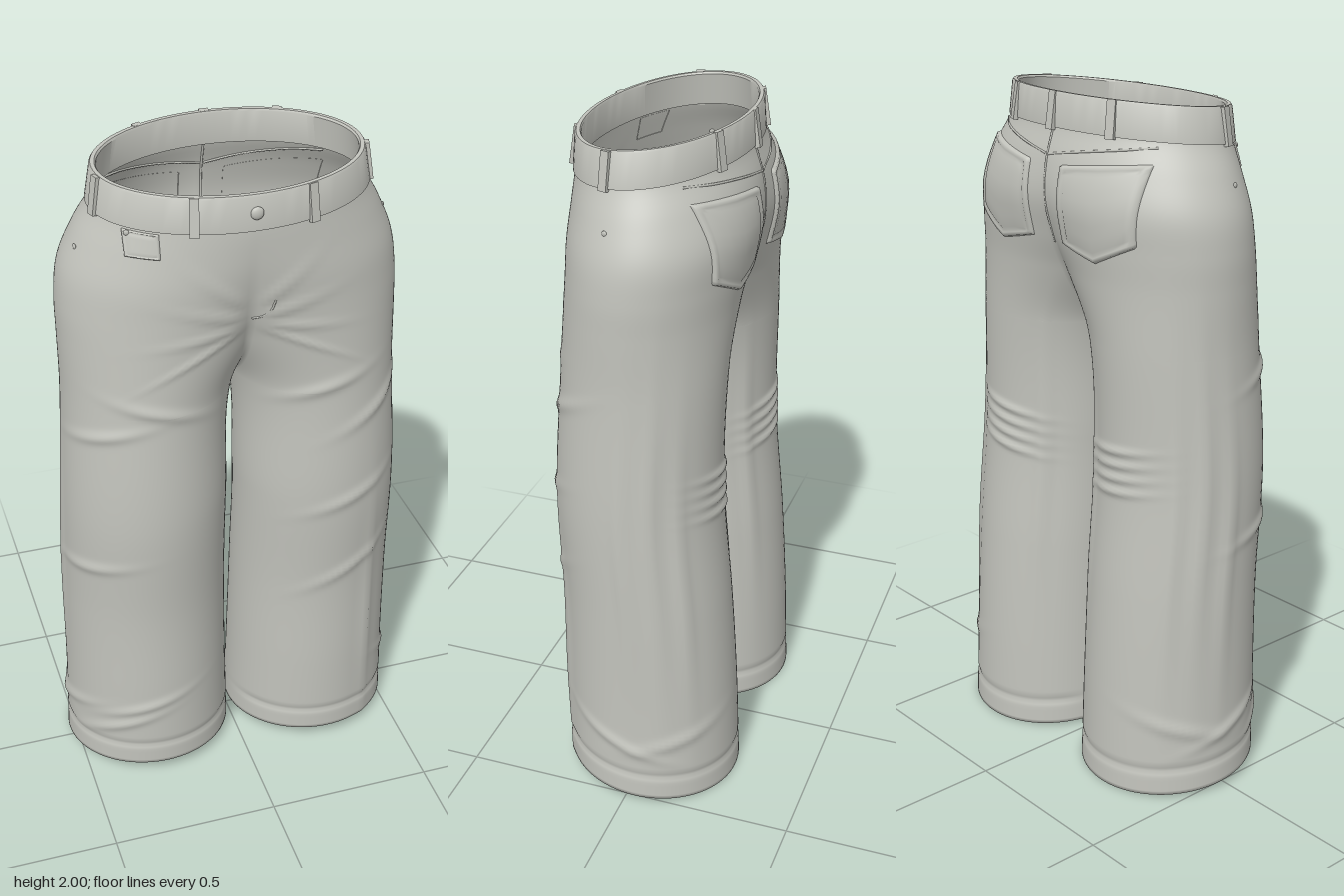
import * as THREE from 'three';
import { mergeVertices, mergeGeometries, toCreasedNormals } from 'three/addons/utils/BufferGeometryUtils.js';

const cloth = new THREE.MeshStandardMaterial({ color: 0xc2c3bc, side: THREE.DoubleSide });
cloth.name = 'grey cloth';

// Half-body sections: height, outer x, inner x (negative = legs joined), front z, back z
const SECTIONS = [
  [0.02, 0.525, 0.008, 0.25, -0.268], [0.3, 0.516, 0.015, 0.253, -0.257],
  [0.6, 0.511, 0.02, 0.253, -0.237], [0.95, 0.505, 0.02, 0.272, -0.207],
  [1.32, 0.488, 0, 0.255, -0.21], [1.5, 0.488, -0.11, 0.254, -0.22],
  [1.6, 0.487, -0.2, 0.257, -0.235], [1.7, 0.473, -0.28, 0.263, -0.249],
  [1.8, 0.43, -0.36, 0.266, -0.233], [1.88, 0.386, -0.386, 0.266, -0.208],
  [1.93, 0.372, -0.372, 0.26, -0.202],
];
const CROTCH = 1.32;

// Folds across the leg: side (0 = both), angle (0 outer, PI/2 front), height, slope
const CROSS_FOLDS = [
  [1, 1.7, 1.33, -0.06], [1, 1, 1.23, -0.1], [1, 1.4, 0.95, -0.08], [1, 1.4, 0.68, -0.12],
  [-1, 1.5, 1.33, -0.06], [-1, 0.8, 1.25, 0.06], [-1, 0.6, 0.79, 0.05],
  [-1, 1, 0.18, 0.1], [-1, 1.3, 0.26, 0.08], [0, 0.1, 0.2, 0.08], [0, -0.6, 0.22, -0.08],
];
// Folds along the leg: side, angle, height
const LONG_FOLDS = [[1, 1.05, 0.45], [0, -0.1, 0.75], [0, -0.45, 0.9], [0, -0.8, 0.75], [0, -2.2, 0.85]];

// Smooth interpolation through the sections
function section(y) {
  const last = SECTIONS.length - 1;
  let i = 0;
  while (i < last - 1 && SECTIONS[i + 1][0] < y) i++;
  const a = SECTIONS[i], b = SECTIONS[i + 1], h = b[0] - a[0];
  const t = THREE.MathUtils.clamp((y - a[0]) / h, 0, 1), t2 = t * t, t3 = t2 * t;
  const slope = (j, k) => {
    const p = SECTIONS[Math.max(j - 1, 0)], q = SECTIONS[Math.min(j + 1, last)];
    return (q[k] - p[k]) / (q[0] - p[0]) * h;
  };
  const [outer, inner, front, back] = [1, 2, 3, 4].map(k =>
    a[k] * (2 * t3 - 3 * t2 + 1) + slope(i, k) * (t3 - 2 * t2 + t) + b[k] * (3 * t2 - 2 * t3) + slope(i + 1, k) * (t3 - t2));
  return { cx: (outer + inner) / 2, ax: (outer - inner) / 2, cz: (front + back) / 2, az: (front - back) / 2 };
}

// Waist leans forward, hem leans back
const lean = (y, z) => y - 0.095 * (z - 0.03) * THREE.MathUtils.smoothstep(y, 1.5, 1.88)
  + 0.085 * z * (1 - THREE.MathUtils.smoothstep(y, 0.05, 0.5));

function foldLift(side, angle, y) {
  let d = -0.006 * Math.exp(-(((y - 0.1) / 0.01) ** 2)); // hem stitch groove
  const fold = (s, a, fy, slope, reach, height, lift) => {
    if (s && s !== side) return;
    const da = Math.atan2(Math.sin(angle - a), Math.cos(angle - a));
    d += lift * Math.exp(-((da / reach) ** 2) - ((y - fy - slope * da) / height) ** 2);
  };
  for (const f of CROSS_FOLDS) fold(...f, 0.5, 0.018, 0.008);
  for (const [s, a, fy] of LONG_FOLDS) fold(s, a, fy, 0, 0.08, 0.38, 0.01);
  for (let i = 0; i < 4; i++) {
    fold(0, 1.75, 1.66 - i * 0.055, -0.22 + i * 0.13, 0.4, 0.012, 0.006); // rays from the crotch
    fold(0, -1.65, 1.03 - i * 0.04, 0.03, 0.45, 0.011, 0.009); // behind the knee
  }
  return d;
}

// One half of the trousers: open half ring above the crotch, closed leg below
function halfGeometry(side) {
  const around = 84, rows = [];
  for (let i = 0; i <= 56; i++) rows.push([1.92 - (1.92 - CROTCH) * Math.sin(i / 56 * Math.PI / 2), 0]);
  for (let i = 1; i <= 140; i++) rows.push([CROTCH - (CROTCH - 0.023) * (i / 140) ** 1.15, 0]);
  rows.push([0.023, 0.012], [0.06, 0.014], [0.1, 0.012]); // turned-in hem
  const pos = [], index = [], w = around + 1;
  rows.forEach(([y, inset], r) => {
    const { cx, ax, cz, az } = section(y);
    const joined = y > CROTCH - 1e-6;
    const limit = joined ? Math.acos(THREE.MathUtils.clamp(-cx / ax, -1, 1)) : Math.PI;
    for (let j = 0; j <= around; j++) {
      const a = (j / around * 2 - 1) * limit, c = Math.cos(a), s = Math.sin(a);
      const bare = cx + ax * c;
      const d = foldLift(side, a, y) * THREE.MathUtils.smoothstep(bare, 0, 0.06) - inset;
      const x = joined && (j === 0 || j === around) ? 0 : Math.max(0, bare + d * c);
      const z = cz + (az + d) * s;
      pos.push(side * x, lean(y, z), z);
      if (r && j < around) {
        const p = (r - 1) * w + j, q = p + w;
        if (side > 0) index.push(p, p + 1, q, p + 1, q + 1, q);
        else index.push(p, q, p + 1, p + 1, q, q + 1);
      }
    }
  });
  const g = new THREE.BufferGeometry();
  g.setAttribute('position', new THREE.Float32BufferAttribute(pos, 3));
  g.setIndex(index);
  return g;
}

// Point on the cloth at x, y; face is 1 for the front, -1 for the back
function onCloth(x, y, face, lift = 0) {
  const { cx, ax, cz, az } = section(y);
  const c = THREE.MathUtils.clamp((Math.abs(x) - cx) / ax, -1, 1), s = face * Math.sqrt(1 - c * c);
  const n = new THREE.Vector2(c / ax, s / az).normalize();
  const z = cz + az * s + n.y * lift;
  return new THREE.Vector3(x + (x < 0 ? -1 : 1) * n.x * lift, lean(y, z), z);
}

// Raised pocket following the cloth, with a stitch groove and pointed bottom
function pocket(x0, x1, top0, top1, bottom0, bottom1, point, face, height) {
  const half = [0, 0.02, 0.06, 0.09, 0.12, 0.25, 0.38];
  const steps = [...half, 0.5, ...half.map(v => 1 - v).reverse()];
  const n = steps.length, lerp = THREE.MathUtils.lerp;
  const g = new THREE.PlaneGeometry(1, 1, n - 1, n - 1), p = g.attributes.position;
  steps.forEach((v, r) => steps.forEach((u, k) => {
    const low = lerp(bottom0, bottom1, u) - point * (1 - Math.abs(2 * u - 1));
    const edge = Math.min(u, 1 - u, v, 1 - v);
    const lift = edge === 0 ? -0.002 : Math.abs(edge - 0.09) < 0.005 ? height * 0.55 : height;
    const q = onCloth(lerp(x0, x1, u), lerp(lerp(top0, top1, u), low, v), face, lift);
    p.setXYZ(r * n + k, q.x, q.y, q.z);
  }));
  if ((x1 - x0) * face < 0) g.index.array.reverse();
  g.computeVertexNormals();
  return g;
}

// Elliptical waistband swept from a closed profile: half-width, half-depth, height
function waistbandGeometry() {
  const profile = [[0.393, 0.243, 1.88], [0.377, 0.238, 1.972], [0.373, 0.234, 1.978],
    [0.362, 0.223, 1.978], [0.358, 0.22, 1.972], [0.372, 0.226, 1.88], [0.393, 0.243, 1.88]];
  const seg = 96, pos = [], index = [], n = profile.length;
  for (let i = 0; i <= seg; i++) {
    const a = i / seg * Math.PI * 2;
    profile.forEach(([ax, az, y], k) => {
      const z = 0.03 + az * Math.sin(a);
      pos.push(ax * Math.cos(a), lean(y, z), z);
      if (i && k) {
        const p = (i - 1) * n + k - 1, q = p + n;
        index.push(p, p + 1, q, p + 1, q + 1, q);
      }
    });
  }
  const g = new THREE.BufferGeometry();
  g.setAttribute('position', new THREE.Float32BufferAttribute(pos, 3));
  g.setIndex(index);
  return toCreasedNormals(g, 0.6);
}

export function createModel() {
  const model = new THREE.Group();
  model.name = 'trousers';
  const add = (name, geometry) => {
    const m = new THREE.Mesh(geometry, cloth);
    m.name = name;
    model.add(m);
    return m;
  };

  // Legs and hips as one smooth cloth surface
  const body = mergeVertices(mergeGeometries([halfGeometry(1), halfGeometry(-1)]), 1e-4);
  body.computeVertexNormals();
  add('legsAndHips', body);
  add('waistband', waistbandGeometry());

  // Belt loops around the band
  for (const a of [1.14, 2, 0.19, Math.PI - 0.19, -1.02, Math.PI + 1.02, -Math.PI / 2]) {
    const z = 0.03 + 0.241 * Math.sin(a);
    const loop = add('beltLoop', new THREE.BoxGeometry(0.026, 0.105, 0.014));
    loop.position.set(0.387 * Math.cos(a), lean(1.926, z), z);
    loop.rotation.order = 'YXZ';
    loop.rotation.set(-0.15, Math.atan2(Math.cos(a) / 0.387, Math.sin(a) / 0.241), 0);
  }

  // Back pockets and the small front pocket
  for (const s of [1, -1]) add('backPocket', pocket(s * 0.065, s * 0.33, 1.79, 1.825, 1.59, 1.62, 0.045, -1, 0.009));
  add('coinPocket', pocket(-0.33, -0.245, 1.872, 1.872, 1.805, 1.805, 0, 1, 0.005));

  // Raised seams: fly curve, back centre and yoke
  const seam = (name, points, face) => add(name, new THREE.TubeGeometry(
    new THREE.CatmullRomCurve3(points.map(([x, y]) => onCloth(x, y, face))), 32, 0.0035, 6));
  seam('flySeam', [[0.06, 1.645], [0.05, 1.61], [0.03, 1.59], [0.002, 1.58]], 1);
  seam('backSeam', [[0, 1.88], [0, 1.78], [0, 1.68], [0, 1.58]], -1);
  for (const s of [1, -1]) seam('yokeSeam', [[s * 0.005, 1.81], [s * 0.12, 1.83], [s * 0.24, 1.85], [s * 0.32, 1.865]], -1);

  // Button and rivets
  const stud = (name, p, r, target) => {
    const m = add(name, new THREE.SphereGeometry(r, 20, 12).scale(1, 1, 0.5));
    m.position.copy(p);
    m.lookAt(target);
  };
  stud('button', new THREE.Vector3(0, 1.907, 0.273), 0.018, new THREE.Vector3(0, 1.907, 2));
  for (const s of [1, -1]) stud('sideRivet', onCloth(s * 0.435, 1.777, 1), 0.008, new THREE.Vector3(s * 3, 1.8, 0.6));
  stud('pocketRivet', onCloth(-0.318, 1.866, 1, 0.005), 0.008, new THREE.Vector3(-1, 1.87, 2));
  return model;
}
